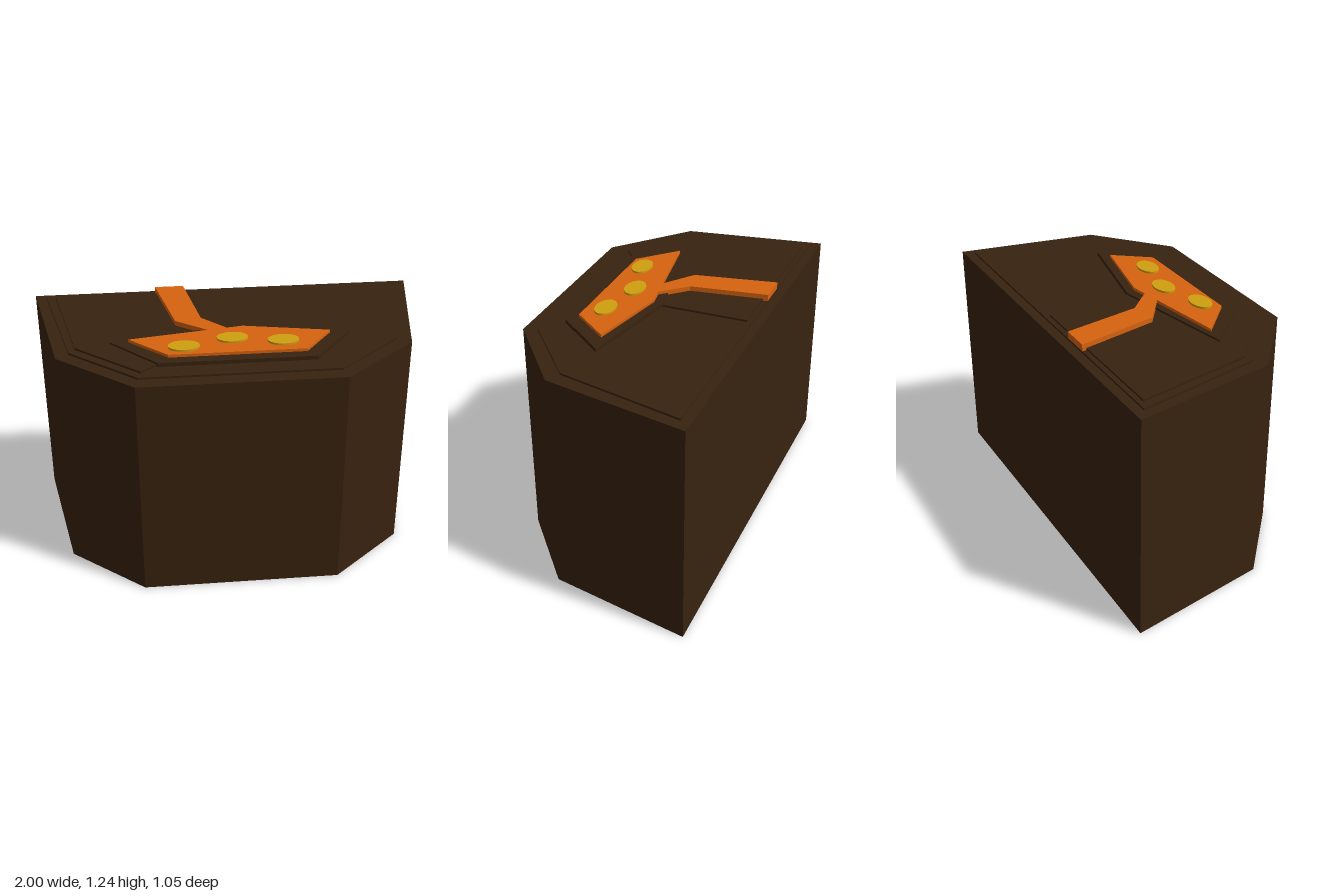
import * as THREE from 'three';

export function createModel() {
  const model = new THREE.Group();
  model.name = 'lavaRock';

  const mat = (name, color) => {
    const m = new THREE.MeshStandardMaterial({ color });
    m.name = name;
    return m;
  };
  const rock = mat('dark brown rock', 0x38220f);
  const lava = mat('orange lava', 0xd8630f);
  const gold = mat('yellow glow', 0xd0a010);

  // Flat slab with an [x, z] outline between two heights
  const slab = (name, outline, y0, y1, material) => {
    const shape = new THREE.Shape(outline.map(([x, z]) => new THREE.Vector2(x, -z)));
    const geo = new THREE.ExtrudeGeometry(shape, { depth: y1 - y0, bevelEnabled: false });
    geo.rotateX(-Math.PI / 2);
    const mesh = new THREE.Mesh(geo, material);
    mesh.name = name;
    mesh.position.y = y0;
    model.add(mesh);
  };

  // Rock body and the stepped ledges on its top
  slab('body', [[-1, -0.523], [1, -0.523], [0.872, 0.205], [0.5, 0.523], [-0.5, 0.523], [-0.872, 0.205]], 0, 1.18, rock);
  slab('topLedge', [[-0.94, -0.475], [0.935, -0.475], [0.805, 0.165], [0.485, 0.45], [-0.485, 0.45], [-0.81, 0.17]], 1.18, 1.19, rock);
  slab('sideLedge', [[-0.89, -0.45], [0.03, -0.45], [0.045, -0.01], [-0.47, 0.41], [-0.78, 0.14]], 1.19, 1.2, rock);
  slab('poolRim', [[-0.61, 0.115], [0.04, -0.015], [0.58, 0.095], [0.38, 0.355], [-0.385, 0.355]], 1.19, 1.21, rock);

  // Lava pool and the bent stream feeding it from the back
  slab('lavaPool', [[-0.52, 0.125], [0.05, 0.03], [0.475, 0.118], [0.335, 0.303], [-0.335, 0.303]], 1.21, 1.225, lava);
  slab('lavaStream', [[-0.365, -0.475], [-0.215, -0.475], [-0.15, -0.08], [-0.03, 0.044], [-0.125, 0.06], [-0.28, -0.055]], 1.19, 1.225, lava);

  // Oval bubbles floating on the pool
  for (const [x, z] of [[-0.255, 0.23], [-0.015, 0.163], [0.23, 0.21]]) {
    const bubble = new THREE.Mesh(new THREE.CylinderGeometry(1, 1, 0.01, 32), gold);
    bubble.name = 'lavaBubble';
    bubble.scale.set(0.077, 1, 0.051);
    bubble.position.set(x, 1.23, z);
    model.add(bubble);
  }

  return model;
}
